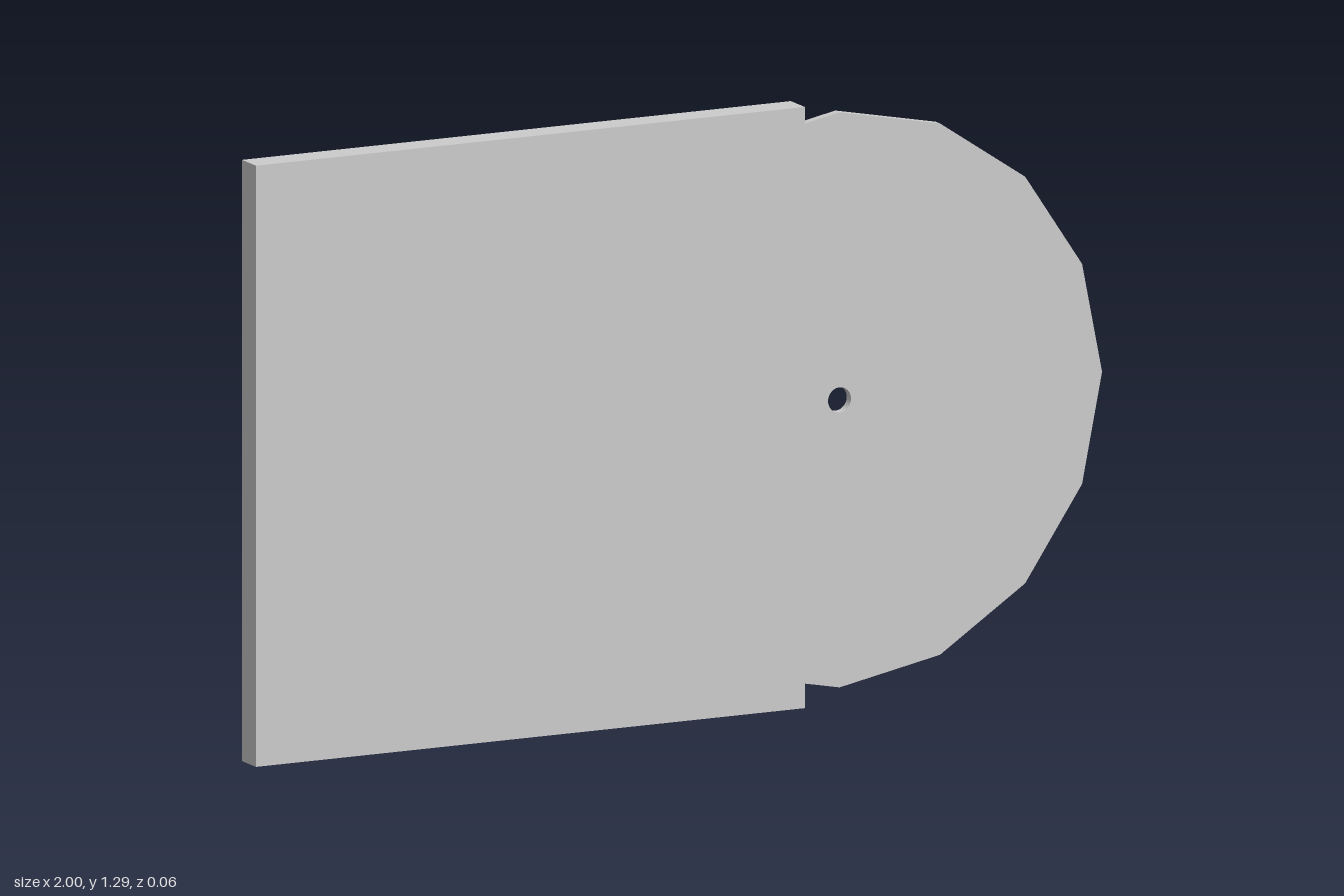
import * as THREE from 'three';

const SIZE = 1.29;       // square sleeve side
const DEPTH = 0.065;     // sleeve thickness
const DISC_R = 0.617;
const DISC_DEPTH = 0.02;
const HOLE_R = 0.027;

export function createModel() {
  const group = new THREE.Group();
  const material = new THREE.MeshStandardMaterial({ color: 0xcccccc, flatShading: true });

  // Square sleeve
  const sleeve = new THREE.Mesh(new THREE.BoxGeometry(SIZE, SIZE, DEPTH), material);
  sleeve.name = 'sleeve';
  sleeve.position.set(-1 + SIZE / 2, SIZE / 2, 0);
  group.add(sleeve);

  // Sixteen-sided disc with a spindle hole, half slid out of the sleeve
  const corners = [];
  for (let i = 0; i < 16; i++) {
    const a = (i / 16) * Math.PI * 2;
    corners.push(new THREE.Vector2(Math.cos(a) * DISC_R, Math.sin(a) * DISC_R));
  }
  const shape = new THREE.Shape(corners);
  shape.holes.push(new THREE.Path().absarc(0, 0, HOLE_R, 0, Math.PI * 2, true));
  const discGeometry = new THREE.ExtrudeGeometry(shape, {
    depth: DISC_DEPTH, bevelEnabled: false, curveSegments: 16,
  });
  discGeometry.translate(0, 0, -DISC_DEPTH / 2);
  const disc = new THREE.Mesh(discGeometry, material);
  disc.name = 'disc';
  disc.position.set(1 - DISC_R, SIZE / 2 + 0.003, 0);
  group.add(disc);

  return group;
}
